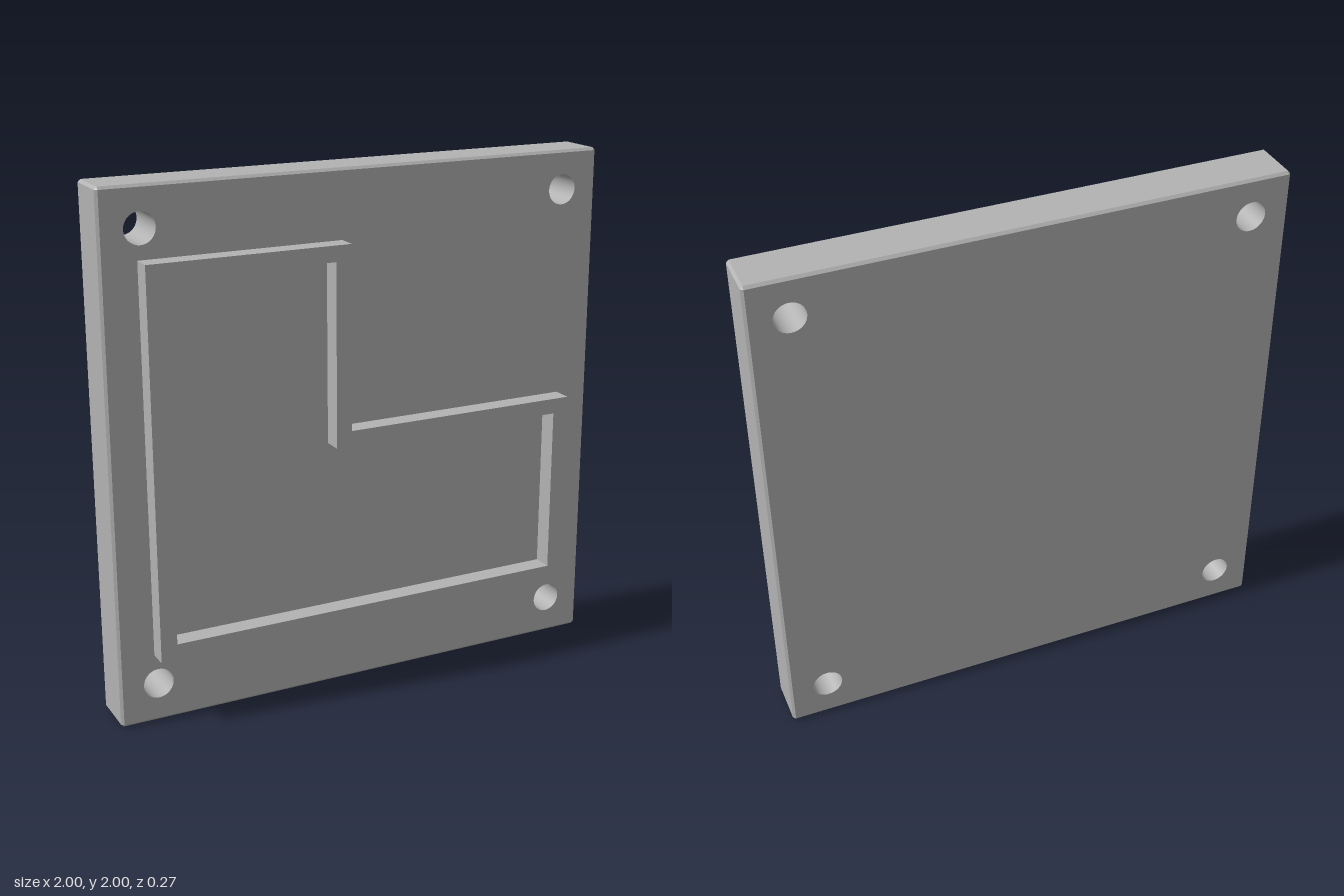
import * as THREE from 'three';

const BACK = -0.135, FRONT = 0.058, RIM = 0.135; // z levels
const C = 0.01;                                  // edge chamfer
const HOLE = 0.058;                              // bolt hole radius
const holes = [[-0.85, 0.15], [0.85, 0.15], [0.85, 1.85], [-0.85, 1.85]];

const polygon = (pts) => pts.map(([x, y]) => new THREE.Vector2(x, y));

// Eight points around the plate: half size h, corners cut by c
function ring(h, c, z) {
  const a = h - c;
  return [[a, -h], [h, -a], [h, a], [a, h], [-a, h], [-h, a], [-h, -a], [-a, -h]]
    .reverse().map(([x, y]) => [x, y + 1, z]).reverse();
}

// Chamfered outer edge, lofted from back to front
function edgeGeometry() {
  const rings = [
    ring(1 - C, 0, BACK), ring(1, C, BACK + C),
    ring(1, C, FRONT - C), ring(1 - C, 0, FRONT),
  ];
  const pos = [];
  for (let r = 0; r < rings.length - 1; r++) {
    for (let i = 0; i < 8; i++) {
      const j = (i + 1) % 8;
      const a = rings[r][i], b = rings[r][j], c = rings[r + 1][j], d = rings[r + 1][i];
      const same = (p, q) => p[0] === q[0] && p[1] === q[1];
      if (!same(a, b)) pos.push(...a, ...b, ...c);
      if (!same(c, d)) pos.push(...a, ...c, ...d);
    }
  }
  const g = new THREE.BufferGeometry();
  g.setAttribute('position', new THREE.Float32BufferAttribute(pos, 3));
  g.computeVertexNormals();
  return g;
}

// Flat square face with the four bolt holes
function faceGeometry() {
  const h = 1 - C;
  const shape = new THREE.Shape(polygon([[-h, 1 - h], [h, 1 - h], [h, 1 + h], [-h, 1 + h]]));
  for (const [x, y] of holes) {
    shape.holes.push(new THREE.Path().absarc(x, y, HOLE, 0, Math.PI * 2, true));
  }
  return new THREE.ShapeGeometry(shape, 24);
}

export function createModel() {
  const group = new THREE.Group();
  const grey = new THREE.MeshStandardMaterial({ color: 0xb2b2b2 });
  grey.name = 'grey';
  const boreGrey = grey;
  boreGrey.side = THREE.DoubleSide;

  const add = (name, geometry) => {
    const mesh = new THREE.Mesh(geometry, grey);
    mesh.name = name;
    group.add(mesh);
    return mesh;
  };

  // Base plate
  add('plateEdge', edgeGeometry());
  add('plateFront', faceGeometry().translate(0, 0, FRONT));
  add('plateBack', faceGeometry().rotateY(Math.PI).translate(0, 0, BACK));

  // Walls of the through holes
  const depth = FRONT - BACK;
  for (const [x, y] of holes) {
    const bore = new THREE.CylinderGeometry(HOLE, HOLE, depth, 48, 1, true).rotateX(Math.PI / 2);
    add('boltHole', bore).position.set(x, y, (FRONT + BACK) / 2);
  }

  // Raised L-shaped rim
  const rim = new THREE.Shape(polygon([
    [-0.863, 0.267], [0.863, 0.267], [0.863, 1.04], [-0.088, 1.04], [-0.088, 1.74], [-0.863, 1.74],
  ]));
  rim.holes.push(new THREE.Path(polygon([
    [-0.8, 0.33], [-0.8, 1.68], [-0.15, 1.68], [-0.15, 0.98], [0.8, 0.98], [0.8, 0.33],
  ])));
  add('rim', new THREE.ExtrudeGeometry(rim, { depth: RIM - FRONT, bevelEnabled: false }))
    .position.z = FRONT;

  return group;
}
